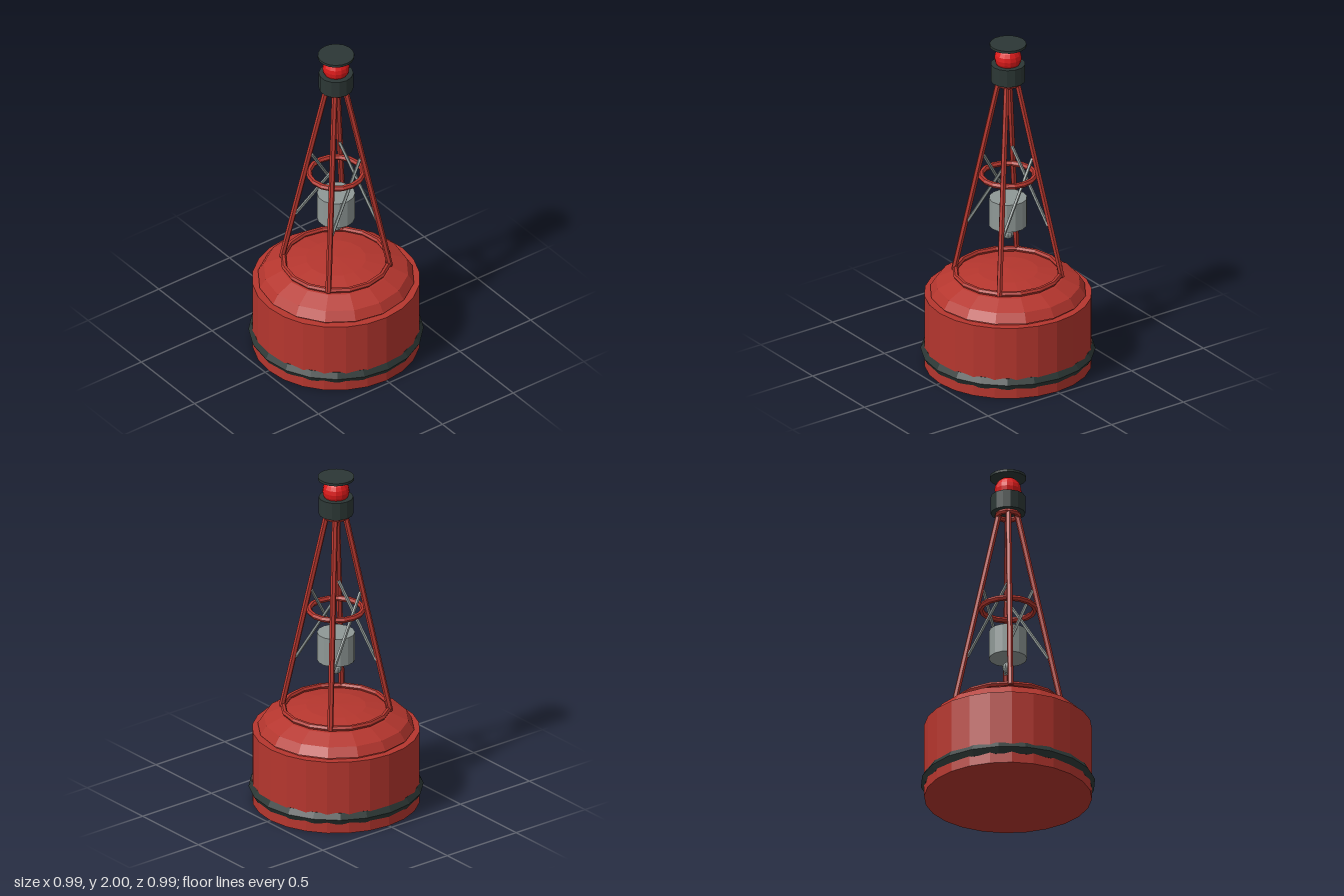
import * as THREE from 'three';

export function createModel() {
  const model = new THREE.Group();
  model.name = 'buoy';

  const paint = (name, color) => {
    const m = new THREE.MeshStandardMaterial({ color, flatShading: true });
    m.name = name;
    return m;
  };
  const red = paint('red paint', 0xb5362e);
  const dark = paint('dark rubber', 0x2c3735);
  const grey = paint('grey metal', 0x8f9896);
  const lampRed = paint('lamp red', 0xdc1a1a);

  const add = (name, geometry, material, y = 0) => {
    const mesh = new THREE.Mesh(geometry, material);
    mesh.name = name;
    mesh.position.y = y;
    model.add(mesh);
    return mesh;
  };
  const cylinder = (name, r, y0, y1, sides, material) =>
    add(name, new THREE.CylinderGeometry(r, r, y1 - y0, sides), material, (y0 + y1) / 2);
  const ring = (name, r, tube, y, tubeSides, sides, material) =>
    add(name, new THREE.TorusGeometry(r, tube, tubeSides, sides).rotateX(Math.PI / 2), material, y);

  // Straight round bar between two points
  const bar = (name, a, b, r, sides, material) => {
    const dir = b.clone().sub(a);
    const mesh = add(name, new THREE.CylinderGeometry(r, r, dir.length(), sides), material);
    mesh.position.copy(a).add(b).multiplyScalar(0.5);
    mesh.quaternion.setFromUnitVectors(new THREE.Vector3(0, 1, 0), dir.normalize());
  };

  // Float body with its rubber fender and domed deck
  cylinder('hull', 0.475, 0, 0.44, 24, red);
  ring('fender', 0.455, 0.04, 0.09, 6, 20, dark);
  cylinder('deckRim', 0.435, 0.44, 0.452, 16, red);
  const dome = new THREE.SphereGeometry(0.445, 16, 4, 0, Math.PI * 2, 0, Math.PI / 2);
  add('deckDome', dome.scale(1, 0.315, 1), red, 0.45);
  ring('deckRing', 0.3, 0.016, 0.57, 6, 16, red);

  // Four leaning legs, with a diagonal brace from each to the next
  const corner = (k, x, y) => {
    const a = Math.PI / 4 + k * Math.PI / 2;
    return new THREE.Vector3(Math.cos(a) * x * Math.SQRT2, y, Math.sin(a) * x * Math.SQRT2);
  };
  for (let k = 0; k < 4; k++) {
    bar('leg', corner(k, 0.218, 0.56), corner(k, 0.036, 1.77), 0.017, 6, red);
    bar('brace', corner(k, 0.162, 0.87), corner(k - 1, 0.098, 1.29), 0.01, 5, grey);
  }
  ring('towerRing', 0.153, 0.017, 1.175, 6, 16, red);
  ring('topCollar', 0.06, 0.015, 1.757, 6, 12, red);

  // Bell and clapper
  cylinder('bell', 0.108, 0.865, 1.035, 14, grey);
  add('clapper', new THREE.SphereGeometry(0.033, 10, 8), grey, 0.81);

  // Lantern
  cylinder('lampBase', 0.098, 1.77, 1.875, 14, dark);
  add('lamp', new THREE.SphereGeometry(0.077, 14, 10), lampRed, 1.912);
  cylinder('lampCap', 0.104, 1.985, 2, 18, dark);

  return model;
}
